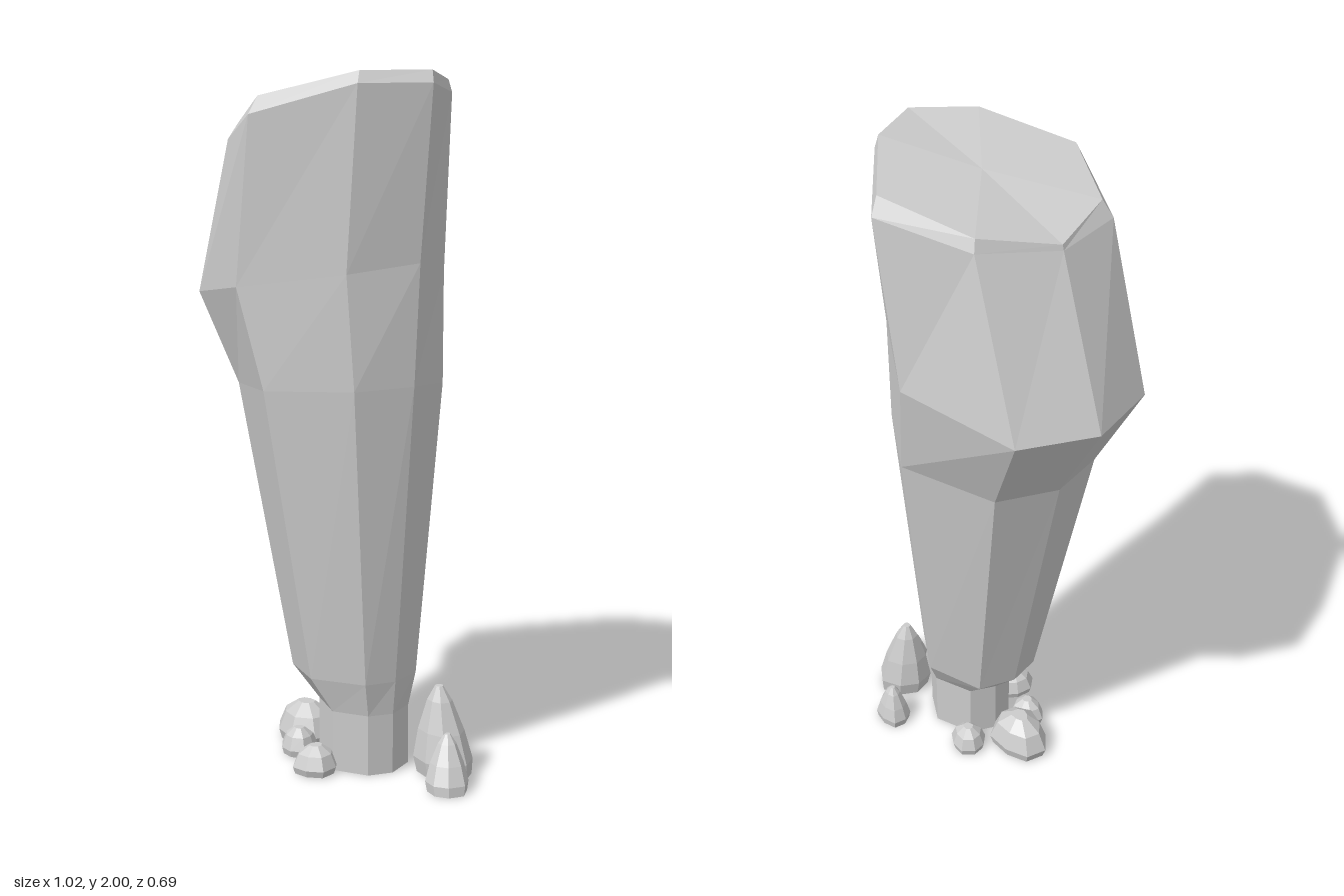
import * as THREE from 'three';

const material = new THREE.MeshStandardMaterial({ color: 0xcccccc, flatShading: true });

// Skin a stack of equal-length rings (points run from +x towards +z) and close both ends.
function loft(name, rings) {
  const pos = [];
  const tri = (...points) => points.forEach((p) => pos.push(...p));
  const centre = (ring) => [0, 1, 2].map((k) => ring.reduce((s, p) => s + p[k], 0) / ring.length);
  const n = rings[0].length;
  const bottom = rings[0], top = rings[rings.length - 1];
  const bottomCentre = centre(bottom), topCentre = centre(top);
  for (let i = 0; i < n; i++) {
    const j = (i + 1) % n;
    for (let r = 0; r < rings.length - 1; r++) {
      const a = rings[r], b = rings[r + 1];
      tri(a[i], b[i], a[j]);
      tri(a[j], b[i], b[j]);
    }
    tri(bottomCentre, bottom[i], bottom[j]);
    tri(topCentre, top[j], top[i]);
  }
  const geometry = new THREE.BufferGeometry();
  geometry.setAttribute('position', new THREE.Float32BufferAttribute(pos, 3));
  geometry.computeVertexNormals();
  const mesh = new THREE.Mesh(geometry, material);
  mesh.name = name;
  return mesh;
}

// Ring of a boulder: an uneven polygon around (x, z)
function rockRing(x, y, z, rx, rz, seed) {
  return Array.from({ length: 8 }, (_, i) => {
    const a = (i / 8) * Math.PI * 2 + seed;
    const k = 1 + 0.07 * Math.sin(i * 2.4 + seed * 5);
    return [x + Math.cos(a) * rx * k, y, z + Math.sin(a) * rz * k];
  });
}

// Boulder rising from its foot to a small blunt tip that may lean
function rock(name, { x, z, rx, rz, h, lean = [0, 0], pointed }, seed) {
  const profile = pointed
    ? [[0.92, 0], [1, 0.18], [0.78, 0.5], [0.42, 0.84], [0.14, 1]]
    : [[0.9, 0], [1, 0.25], [0.75, 0.72], [0.28, 1]];
  return loft(name, profile.map(([s, t]) =>
    rockRing(x + lean[0] * t, h * t, z + lean[1] * t, rx * s, rz * s, seed)));
}

// Rings of the standing stone, each corner as [x, y, z]
const foot = (y) => [
  [0.25, y, 0.01], [0.22, y, 0.08], [0.12, y, 0.13], [0, y, 0.08],
  [-0.03, y, 0], [0, y, -0.08], [0.12, y, -0.13], [0.22, y, -0.08],
];
const shoulder = [
  [0.26, 0.28, 0.01], [0.23, 0.28, 0.1], [0.08, 0.28, 0.18], [-0.09, 0.27, 0.11],
  [-0.13, 0.28, 0], [-0.09, 0.27, -0.11], [0.08, 0.28, -0.18], [0.23, 0.28, -0.1],
];
const waist = [
  [0.34, 1.15, 0.02], [0.27, 1.14, 0.18], [0.02, 1.13, 0.3], [-0.27, 1.12, 0.17],
  [-0.33, 1.12, -0.01], [-0.27, 1.12, -0.19], [0.02, 1.13, -0.3], [0.26, 1.14, -0.17],
];
const bulge = [
  [0.36, 1.49, 0.02], [0.26, 1.46, 0.2], [-0.05, 1.42, 0.34], [-0.42, 1.39, 0.205],
  [-0.51, 1.39, -0.03], [-0.43, 1.39, -0.25], [-0.05, 1.42, -0.34], [0.25, 1.46, -0.18],
];
const rim = [
  [0.415, 1.965, 0.03], [0.31, 1.96, 0.205], [0.02, 1.89, 0.345], [-0.25, 1.84, 0.215],
  [-0.305, 1.825, 0], [-0.23, 1.85, -0.225], [0.035, 1.89, -0.35], [0.285, 1.96, -0.17],
];
const crown = [
  [0.4, 2, 0.02], [0.3, 1.995, 0.19], [0.03, 1.94, 0.32], [-0.22, 1.885, 0.2],
  [-0.3, 1.84, 0], [-0.22, 1.885, -0.215], [0.045, 1.94, -0.325], [0.28, 1.995, -0.16],
];

// Boulders scattered round the foot
const rocks = [
  { x: 0.35, z: -0.11, rx: 0.09, rz: 0.085, h: 0.26, lean: [-0.025, 0.005], pointed: true },
  { x: 0.45, z: -0.02, rx: 0.058, rz: 0.065, h: 0.155, lean: [-0.03, -0.025], pointed: true },
  { x: 0.22, z: -0.24, rx: 0.063, rz: 0.052, h: 0.13, pointed: true },
  { x: -0.135, z: 0.02, rx: 0.108, rz: 0.085, h: 0.12 },
  { x: -0.055, z: 0.115, rx: 0.058, rz: 0.055, h: 0.08 },
  { x: 0.09, z: 0.17, rx: 0.066, rz: 0.07, h: 0.08 },
  { x: -0.04, z: -0.12, rx: 0.06, rz: 0.055, h: 0.08 },
];

export function createModel() {
  const model = new THREE.Group();
  model.name = 'rockPillar';
  model.add(loft('pillar', [foot(0), foot(0.18), shoulder, waist, bulge, rim, crown]));
  rocks.forEach((r, i) => model.add(rock(`boulder${i + 1}`, r, i * 0.7)));
  return model;
}
